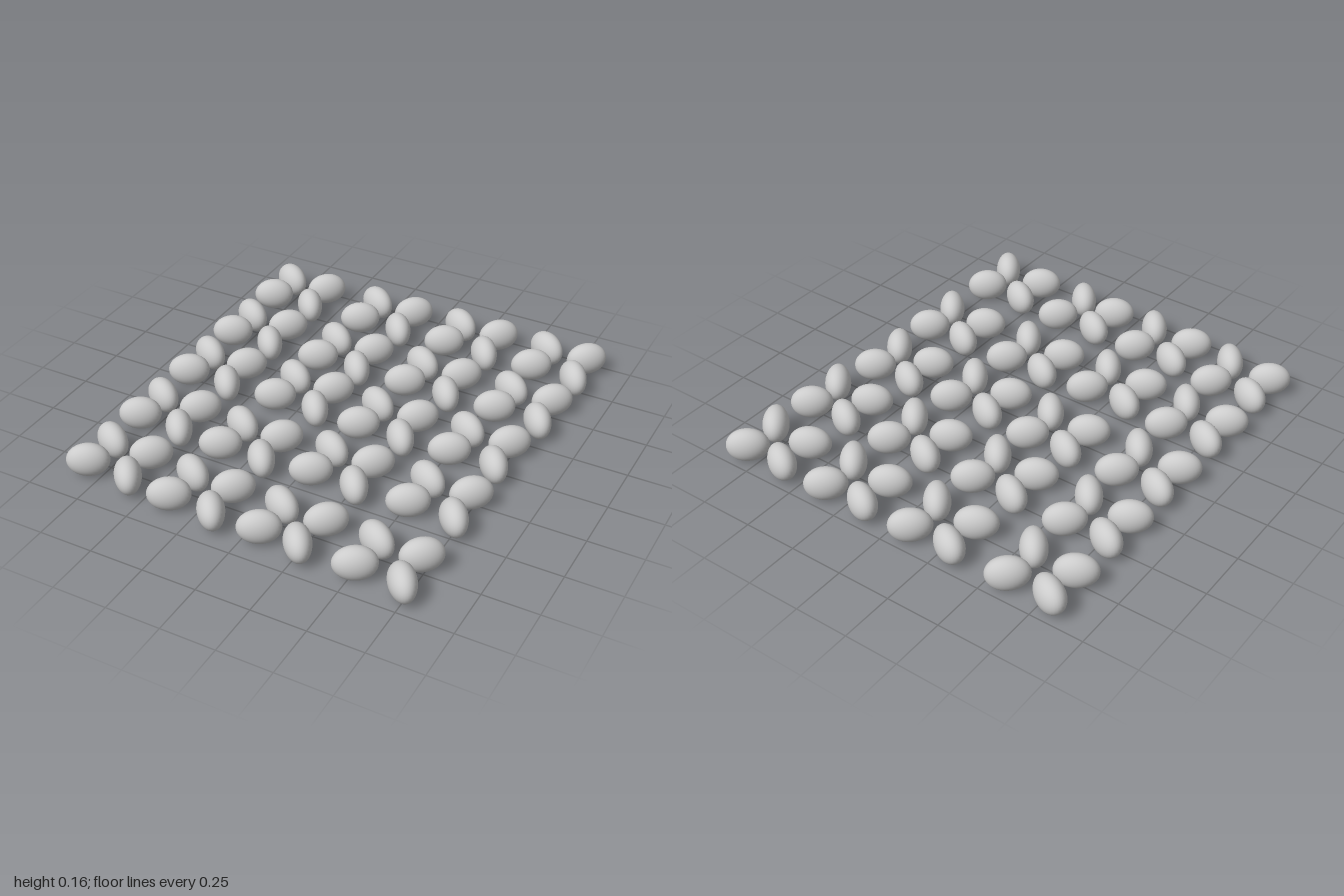
import * as THREE from 'three';

// Slightly egg-shaped bean, long axis on x, a little narrower towards +x
function beanGeometry() {
  const g = new THREE.SphereGeometry(1, 32, 20);
  const p = g.attributes.position;
  for (let i = 0; i < p.count; i++) {
    const x = p.getX(i);
    p.setXYZ(i, x * 0.095, p.getY(i) * 0.078, p.getZ(i) * 0.059 * (1 - 0.08 * x));
  }
  g.rotateX(0);
  g.computeBoundingSphere();
  // smooth normals of the underlying ellipsoid
  const n = g.attributes.normal;
  const v = new THREE.Vector3();
  for (let i = 0; i < p.count; i++) {
    v.set(p.getX(i) / 0.095 ** 2, p.getY(i) / 0.078 ** 2, p.getZ(i) / 0.059 ** 2).normalize();
    n.setXYZ(i, v.x, v.y, v.z);
  }
  return g;
}

// Four beans of a cluster: offset from the first bean and turn in degrees
const BEANS = [
  { name: 'backRightBean', x: 0, z: 0, turn: -29 },
  { name: 'backLeftBean', x: 0.199, z: 0, turn: -141 },
  { name: 'frontRightBean', x: -0.012, z: 0.169, turn: -150 },
  { name: 'frontLeftBean', x: 0.204, z: 0.184, turn: -52 },
];

// Cluster positions [x, z], row by row from back to front
const ROWS = [
  [[-0.794, -0.926], [-0.304, -0.926], [0.151, -0.926], [0.601, -0.926]],
  [[-0.794, -0.529], [-0.323, -0.529], [0.135, -0.529], [0.585, -0.529]],
  [[-0.794, -0.138], [-0.336, -0.148], [0.103, -0.127], [0.542, -0.138]],
  [[-0.794, 0.265], [-0.357, 0.291], [0.082, 0.27], [0.542, 0.27]],
  [[-0.794, 0.661], [-0.357, 0.698], [0.085, 0.709], [0.532, 0.725]],
];

export function createModel() {
  const model = new THREE.Group();
  model.name = 'beanField';
  const geometry = beanGeometry();
  const material = new THREE.MeshStandardMaterial({ color: 0xcccccc });

  ROWS.forEach((row, r) => row.forEach(([x, z], c) => {
    const cluster = new THREE.Group();
    cluster.name = `beanCluster_${r + 1}_${c + 1}`;
    cluster.position.set(x, 0.078, z);
    for (const b of BEANS) {
      const bean = new THREE.Mesh(geometry, material);
      bean.name = b.name;
      bean.position.set(b.x, 0, b.z);
      bean.rotation.y = THREE.MathUtils.degToRad(b.turn);
      cluster.add(bean);
    }
    // one cluster in the front row sits a little uneven
    if (r === 4 && c === 2) {
      cluster.children[1].position.x += 0.007;
      cluster.children[3].position.x -= 0.027;
    }
    model.add(cluster);
  }));
  return model;
}
